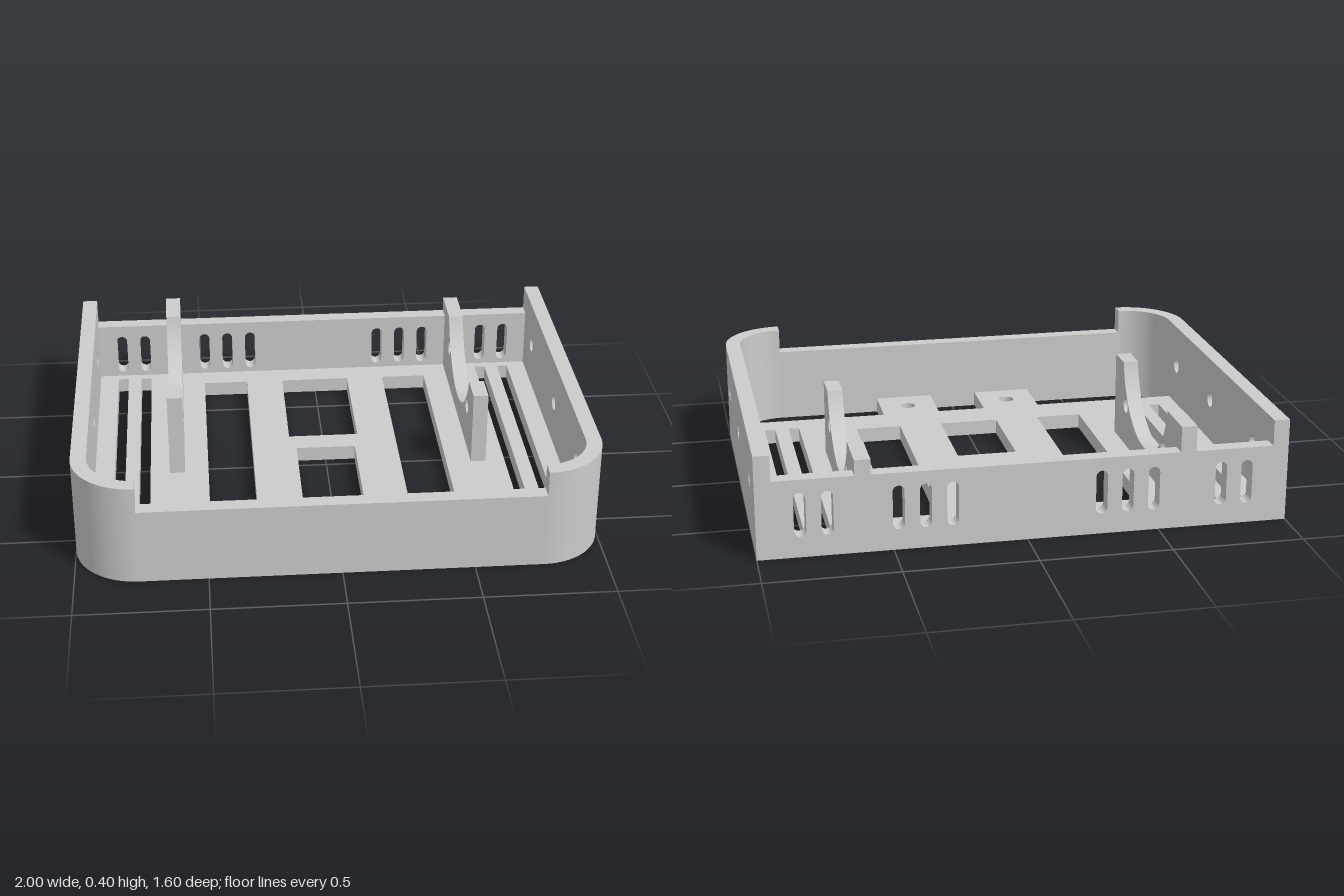
import * as THREE from 'three';
import { toCreasedNormals } from 'three/addons/utils/BufferGeometryUtils.js';

const WALL = 0.06, FLOOR = 0.06, HIGH = 0.4, LOW = 0.3;
const material = new THREE.MeshStandardMaterial({ color: 0xcccccc });

function polygon(points) {
  return new THREE.Shape(points.map(([x, y]) => new THREE.Vector2(x, y)));
}

function rectHole(shape, x0, x1, y0, y1) {
  shape.holes.push(polygon([[x0, y0], [x1, y0], [x1, y1], [x0, y1]]));
}

function roundHole(shape, x, y, r) {
  shape.holes.push(new THREE.Path().absarc(x, y, r, 0, Math.PI * 2, true));
}

function slotHole(shape, x, y0, y1, r) {
  const slot = new THREE.Path();
  slot.absarc(x, y1 - r, r, 0, Math.PI, false);
  slot.absarc(x, y0 + r, r, Math.PI, Math.PI * 2, false);
  shape.holes.push(slot);
}

function extrude(shape, depth) {
  const geometry = new THREE.ExtrudeGeometry(shape, { depth, bevelEnabled: false, curveSegments: 24 });
  return toCreasedNormals(geometry, 0.5);
}

// Shape drawn in (x, -z), raised along y
const plan = (shape, height) => extrude(shape, height).rotateX(-Math.PI / 2);
// Shape drawn in (z, y), spanning x0 .. x0 + width
const profile = (shape, x0, width) => extrude(shape, width).rotateY(-Math.PI / 2).translate(x0 + width, 0, 0);

export function createModel() {
  const model = new THREE.Group();
  model.name = 'tray';
  const add = (name, geometry) => {
    const mesh = new THREE.Mesh(geometry, material);
    mesh.name = name;
    model.add(mesh);
  };

  // Floor with two front tabs, windows and long side slots
  const floor = polygon([
    [-0.94, 0.74], [-0.94, -0.52], [-0.34, -0.52], [-0.34, -0.74], [-0.1, -0.74], [-0.1, -0.52],
    [0.1, -0.52], [0.1, -0.74], [0.34, -0.74], [0.34, -0.52], [0.94, -0.52], [0.94, 0.74],
  ]);
  rectHole(floor, -0.145, 0.14, 0.14, 0.64);
  rectHole(floor, -0.12, 0.12, -0.36, 0.04);
  rectHole(floor, -0.485, -0.3, -0.36, 0.64);
  rectHole(floor, 0.295, 0.48, -0.36, 0.64);
  for (const side of [-1, 1]) {
    for (const x of [0.74, 0.84]) rectHole(floor, side * x - 0.022, side * x + 0.022, -0.42, 0.705);
    roundHole(floor, side * 0.22, -0.62, 0.032);
  }
  add('floor', plan(floor, FLOOR));

  // Side walls with cable holes, and rounded front corners
  for (const side of [-1, 1]) {
    const label = side > 0 ? 'left' : 'right';
    const wall = polygon([[-0.8, 0], [0.56, 0], [0.56, HIGH], [-0.8, HIGH]]);
    for (const z of [0.43, -0.04, -0.57]) roundHole(wall, z, 0.23, 0.032);
    add(label + 'Wall', profile(wall, side > 0 ? 1 - WALL : -1, WALL));

    const corner = new THREE.Shape();
    const from = side > 0 ? -Math.PI / 2 : -Math.PI;
    corner.absarc(side * 0.76, -0.56, 0.24, from, from + Math.PI / 2, false);
    corner.absarc(side * 0.76, -0.56, 0.24 - WALL, from + Math.PI / 2, from, true);
    add(label + 'FrontCorner', plan(corner, HIGH));
  }

  // Lower front wall
  add('frontWall', new THREE.BoxGeometry(1.52, LOW, WALL).translate(0, LOW / 2, 0.8 - WALL / 2));

  // Lower back wall with vent slots
  const back = polygon([[-0.94, 0], [0.94, 0], [0.94, LOW], [-0.94, LOW]]);
  for (const side of [-1, 1]) {
    for (const x of [0.28, 0.38, 0.48, 0.74, 0.84]) slotHole(back, side * x, 0.08, 0.25, 0.022);
  }
  add('backWall', extrude(back, WALL).translate(0, 0, -0.8));

  // Cradle brackets with a round scoop, resting over the back wall
  const centreZ = -0.306, centreY = 0.46, radius = 0.316;
  for (const [name, x0, top] of [['rightCradle', -0.64, 0.4], ['leftCradle', 0.58, 0.36]]) {
    const a = Math.asin((centreY - top) / radius);
    const cradle = new THREE.Shape();
    cradle.moveTo(-0.8, top);
    cradle.lineTo(-0.8, LOW);
    cradle.lineTo(-0.74, LOW);
    cradle.lineTo(-0.74, FLOOR);
    cradle.lineTo(0.12, FLOOR);
    cradle.lineTo(0.12, top);
    cradle.absarc(centreZ, centreY, radius, -a, a - Math.PI, true);
    for (const z of [-0.04, -0.57]) roundHole(cradle, z, 0.23, 0.032);
    add(name, profile(cradle, x0, WALL));
  }

  return model;
}
